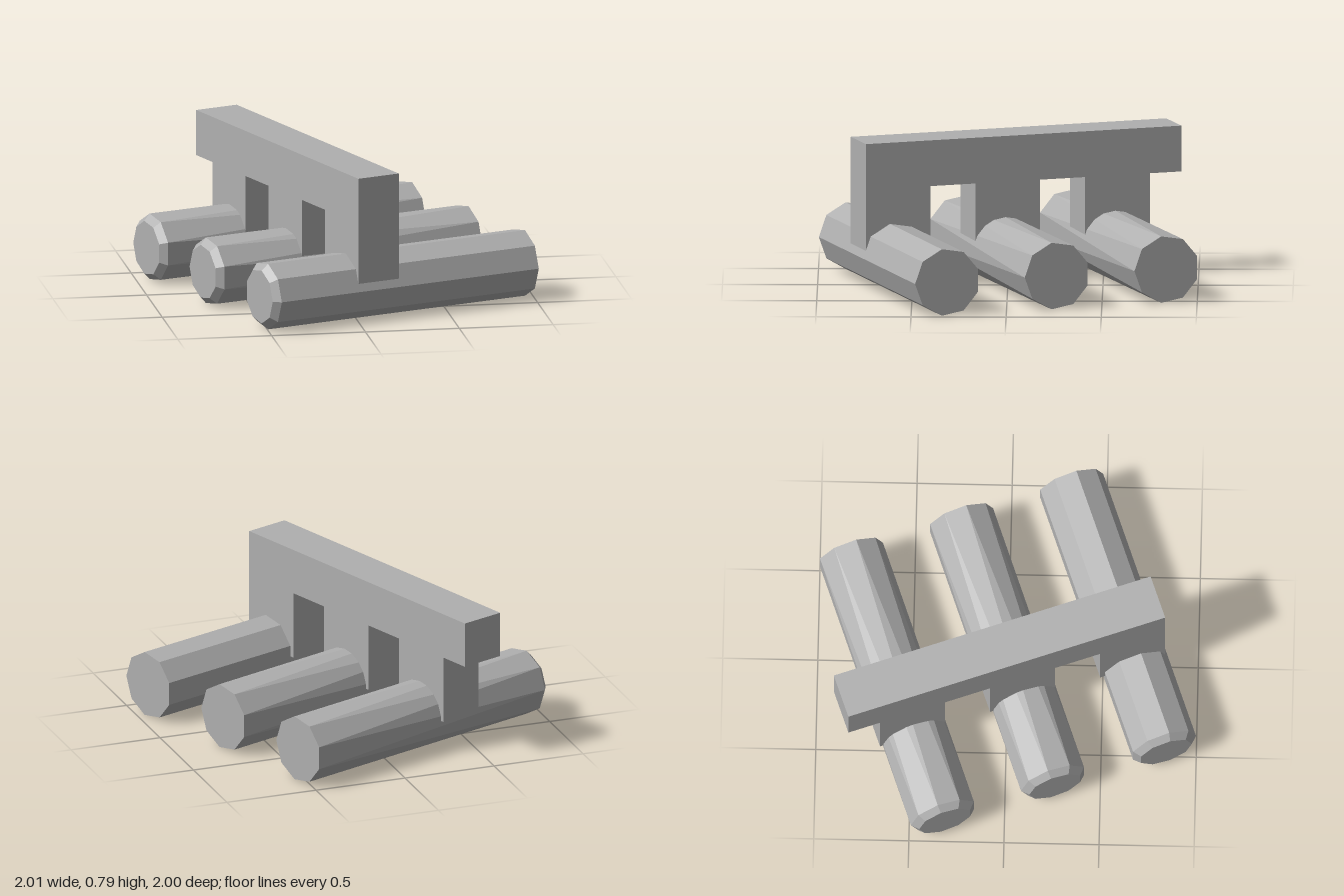
import * as THREE from 'three';

const SIDES = 9, PITCH = 0.61, WIDTH = 0.243;

// Log along x, lofted through rings of [x, radius, twist in degrees]
function logGeometry(rings) {
  const pos = [];
  const point = ([x, r, twist], j) => {
    const a = THREE.MathUtils.degToRad(twist) + (j % SIDES) / SIDES * Math.PI * 2;
    return [x, r * Math.sin(a), r * Math.cos(a)];
  };
  const first = rings[0], last = rings[rings.length - 1];
  for (let j = 0; j < SIDES; j++) {
    for (let i = 0; i < rings.length - 1; i++) {
      const a = point(rings[i], j), b = point(rings[i + 1], j);
      const c = point(rings[i + 1], j + 1), d = point(rings[i], j + 1);
      pos.push(...a, ...b, ...c, ...a, ...c, ...d);
    }
    pos.push(first[0], 0, 0, ...point(first, j), ...point(first, j + 1));
    pos.push(last[0], 0, 0, ...point(last, j + 1), ...point(last, j));
  }
  const geo = new THREE.BufferGeometry();
  geo.setAttribute('position', new THREE.Float32BufferAttribute(pos, 3));
  geo.computeVertexNormals();
  return geo;
}

// Comb-shaped beam: a top rail with three legs, in the (z, y) plane
function beamGeometry() {
  const front = 0.775, back = -0.98, leg = 0.36, low = 0.19, under = 0.553, top = 0.797;
  const s = new THREE.Shape();
  s.moveTo(back, top);
  s.lineTo(back, under);
  for (let i = 2; i >= 0; i--) {
    const end = front - i * PITCH;
    s.lineTo(end - leg, under);
    s.lineTo(end - leg, low);
    s.lineTo(end, low);
    if (i > 0) s.lineTo(end, under);
  }
  s.lineTo(front, top);
  s.closePath();
  const geo = new THREE.ExtrudeGeometry(s, { depth: WIDTH, bevelEnabled: false });
  geo.rotateY(-Math.PI / 2);
  geo.translate(-0.165 + WIDTH / 2, 0, 0);
  return geo;
}

export function createModel() {
  const stone = new THREE.MeshStandardMaterial({ color: 0xb0b0b0 });
  stone.name = 'grey';

  const model = new THREE.Group();
  model.name = 'logRack';

  // Everything sits at an angle to the main axes
  const rack = new THREE.Group();
  rack.name = 'rack';
  rack.rotation.y = 0.343;
  model.add(rack);

  const beam = new THREE.Mesh(beamGeometry(), stone);
  beam.name = 'beamWithLegs';
  rack.add(beam);

  // Three logs, chamfered at the left end and cut flat at the right
  [['backLog', -1, 20], ['middleLog', 0, 20], ['frontLog', 1, 0]].forEach(([name, k, twist]) => {
    const log = new THREE.Mesh(
      logGeometry([[-0.79, 0.145, twist], [-0.755, 0.18, twist], [0.79, 0.18, 0]]), stone);
    log.name = name;
    log.position.set(0, 0.187, k * PITCH);
    rack.add(log);
  });

  return model;
}
